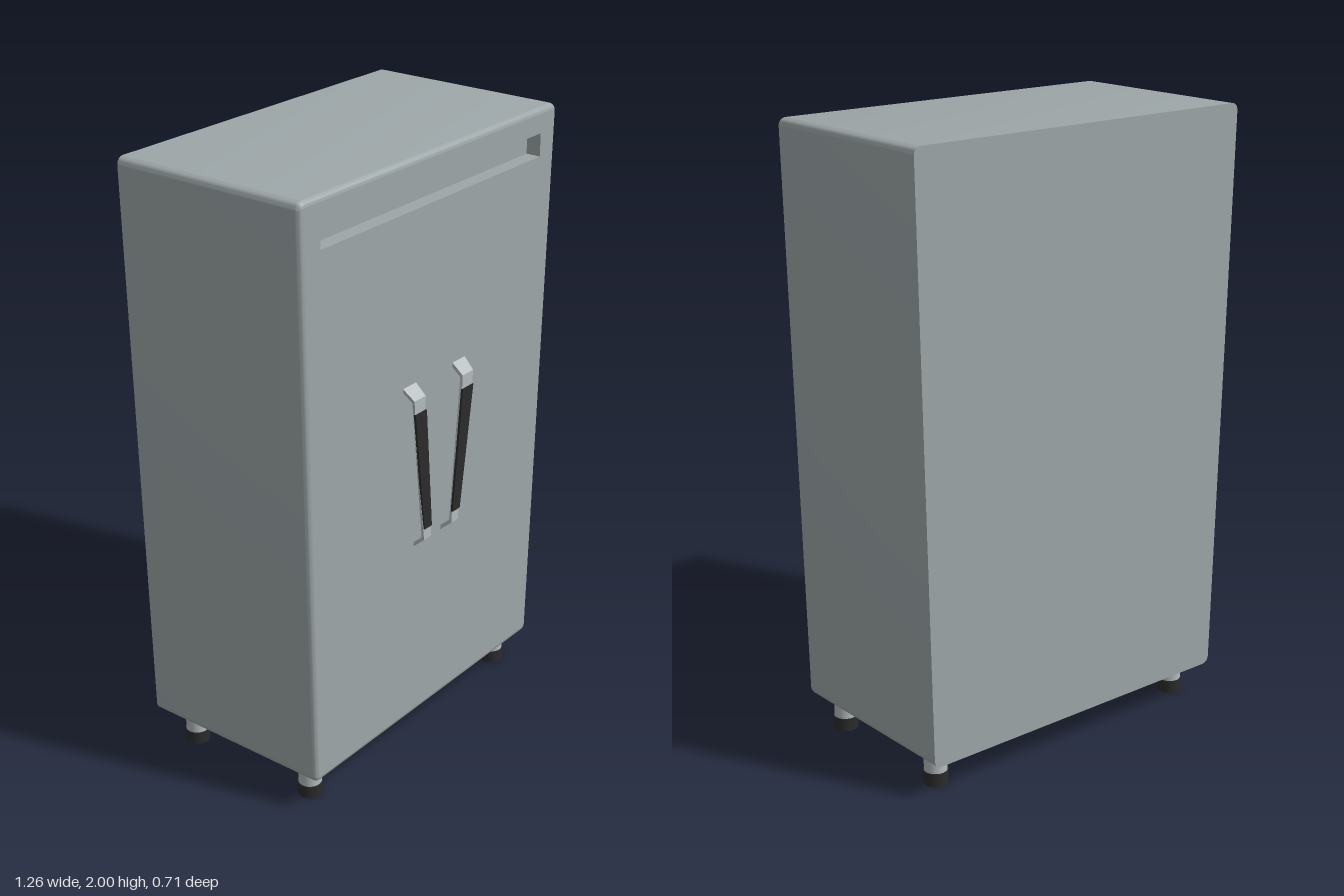
import * as THREE from 'three';
import { toCreasedNormals } from 'three/addons/utils/BufferGeometryUtils.js';

const mat = (name, color, side = THREE.FrontSide) => {
  const m = new THREE.MeshStandardMaterial({ color, side });
  m.name = name;
  return m;
};

const Y0 = 0.11, Y1 = 2, BACK = -0.357, FRONT = 0.315, R = 0.025, BEVEL = 0.018;
const SLOT = { x: 0.543, y0: 1.845, y1: 1.92, depth: 0.05 };

// Half width of the cabinet, which widens towards the top
const halfWidth = (y) => 0.585 + (0.045 * (y - Y0)) / (Y1 - Y0);

// Rounded, tapered outline, counter-clockwise, shrunk by an inset
function outline(inset) {
  const pts = [], r = R - inset;
  const hw = 0.63 - R, cy = (Y0 + Y1) / 2, hh = (Y1 - Y0) / 2 - R;
  [[1, -1], [1, 1], [-1, 1], [-1, -1]].forEach(([sx, sy], k) => {
    for (let i = 0; i <= 6; i++) {
      const a = ((k - 1) + i / 6) * Math.PI / 2;
      const y = cy + sy * hh + r * Math.sin(a);
      const x = (sx * hw + r * Math.cos(a)) * halfWidth(y) / 0.63;
      pts.push(new THREE.Vector2(x, y));
    }
  });
  return pts;
}

// Sides and rounded front edge, as rings from back to front
function shellGeometry() {
  const rings = [[0, BACK]];
  for (let i = 0; i <= 5; i++) {
    const a = (i / 5) * Math.PI / 2;
    rings.push([BEVEL * (1 - Math.cos(a)), FRONT - BEVEL * (1 - Math.sin(a))]);
  }
  const pos = [], idx = [];
  let n = 0;
  rings.forEach(([inset, z], k) => {
    const pts = outline(inset);
    n = pts.length;
    pts.forEach((p) => pos.push(p.x, p.y, z));
    if (k === 0) return;
    for (let j = 0; j < n; j++) {
      const a = (k - 1) * n + j, b = (k - 1) * n + (j + 1) % n;
      idx.push(a, b, b + n, a, b + n, a + n);
    }
  });
  const g = new THREE.BufferGeometry();
  g.setAttribute('position', new THREE.Float32BufferAttribute(pos, 3));
  g.setIndex(idx);
  return toCreasedNormals(g, 0.6);
}

function rect(Type, hx, y0, y1) {
  const s = new Type();
  s.moveTo(-hx, y0);
  s.lineTo(hx, y0);
  s.lineTo(hx, y1);
  s.lineTo(-hx, y1);
  s.closePath();
  return s;
}

// Handle sections: height, distance from the middle, half width
const SECTIONS = [
  [0.735, 0.071, 0.023], [0.77, 0.073, 0.018], [0.81, 0.075, 0.018],
  [1.22, 0.122, 0.027], [1.265, 0.124, 0.028], [1.3, 0.127, 0.033],
];
function sectionAt(y) {
  let i = 0;
  while (i < SECTIONS.length - 2 && y > SECTIONS[i + 1][0]) i++;
  const [a, b] = [SECTIONS[i], SECTIONS[i + 1]];
  const t = THREE.MathUtils.clamp((y - a[0]) / (b[0] - a[0]), 0, 1);
  return [a[1] + (b[1] - a[1]) * t, a[2] + (b[2] - a[2]) * t];
}

// Side profile of (z, y) points, widened in x to follow the sections
function handleGeometry(profile, side, extra = 0) {
  const shape = new THREE.Shape(profile.map(([z, y]) => new THREE.Vector2(z, y)));
  const g = new THREE.ExtrudeGeometry(shape, { depth: 1, bevelEnabled: false });
  const p = g.attributes.position;
  for (let i = 0; i < p.count; i++) {
    const z = p.getX(i), y = p.getY(i), s = p.getZ(i);
    const [c, w] = sectionAt(y);
    p.setXYZ(i, side * c - (2 * s - 1) * (w + extra), y, z);
  }
  g.computeVertexNormals();
  return g;
}

export function createModel() {
  const model = new THREE.Group();
  model.name = 'cabinet';
  const paint = mat('grey paint', 0x9da6a8);
  const metal = mat('pale metal', 0xb4babc);
  const rubber = mat('black rubber', 0x2b2b2b);
  const add = (name, geo, m, parent = model) => {
    const mesh = new THREE.Mesh(geo, m);
    mesh.name = name;
    parent.add(mesh);
    return mesh;
  };

  // Cabinet body
  add('cabinetShell', shellGeometry(), paint);
  const front = new THREE.Shape(outline(BEVEL));
  front.holes.push(rect(THREE.Path, SLOT.x, SLOT.y0, SLOT.y1));
  add('frontPanel', new THREE.ShapeGeometry(front), paint).position.z = FRONT;
  const back = add('backPanel', new THREE.ShapeGeometry(new THREE.Shape(outline(0))), paint);
  back.rotation.y = Math.PI;
  back.position.z = BACK;

  // Recessed slot near the top
  const frame = rect(THREE.Shape, SLOT.x + 0.01, SLOT.y0 - 0.01, SLOT.y1 + 0.01);
  frame.holes.push(rect(THREE.Path, SLOT.x, SLOT.y0, SLOT.y1));
  add('slotWalls', new THREE.ExtrudeGeometry(frame, { depth: SLOT.depth - 0.001, bevelEnabled: false }), paint)
    .position.z = FRONT - SLOT.depth;
  add('slotBack', new THREE.ShapeGeometry(rect(THREE.Shape, SLOT.x, SLOT.y0, SLOT.y1)), paint)
    .position.z = FRONT - SLOT.depth;

  // Slanted handles with dark grips
  const bar = [
    [0.313, 0.735], [0.353, 0.77], [0.353, 0.81], [0.353, 1.22], [0.353, 1.265], [0.313, 1.3],
    [0.313, 1.284], [0.344, 1.258], [0.344, 0.777], [0.313, 0.75],
  ];
  const grip = [[0.349, 0.81], [0.357, 0.81], [0.357, 1.22], [0.349, 1.22]];
  for (const side of [1, -1]) {
    const handle = new THREE.Group();
    handle.name = side > 0 ? 'leftHandle' : 'rightHandle';
    add('handleBar', handleGeometry(bar, side), metal, handle);
    add('handleGrip', handleGeometry(grip, side, 0.001), rubber, handle);
    model.add(handle);
  }

  // Four feet with rubber ends
  for (const x of [-0.505, 0.505]) {
    for (const z of [0.225, -0.255]) {
      const foot = new THREE.Group();
      foot.name = 'foot';
      foot.position.set(x, 0, z);
      add('footStem', new THREE.CylinderGeometry(0.037, 0.037, 0.08, 24), metal, foot).position.y = 0.08;
      add('footPad', new THREE.CylinderGeometry(0.04, 0.04, 0.043, 24), rubber, foot).position.y = 0.0215;
      model.add(foot);
    }
  }
  return model;
}
